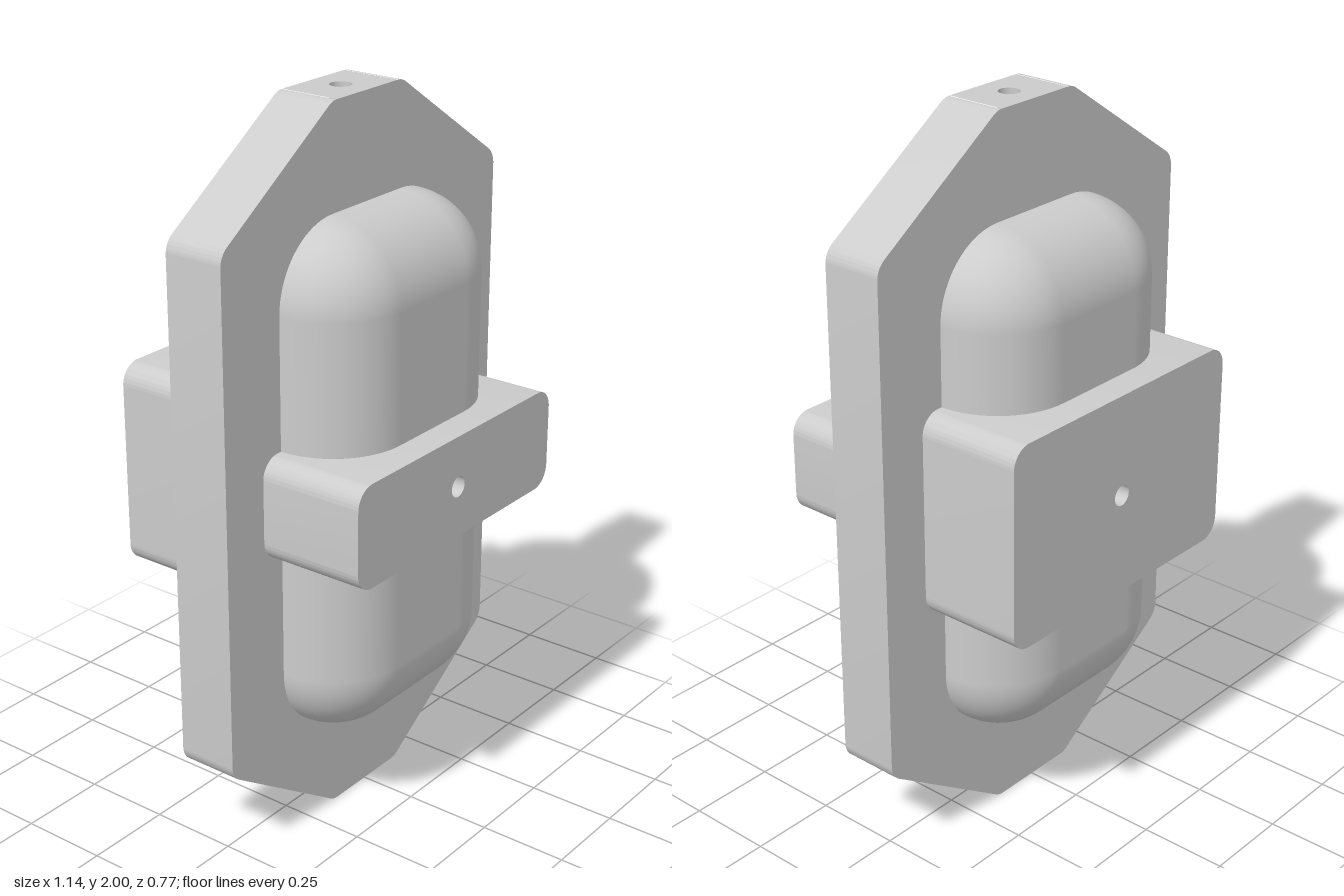
import * as THREE from 'three';
import { toCreasedNormals } from 'three/addons/utils/BufferGeometryUtils.js';
import { RoundedBoxGeometry } from 'three/addons/geometries/RoundedBoxGeometry.js';

const BORE = 0.029, FILLET = 0.057;
const PLATE_Z = 0.086, BLOCK_Z = 0.385;

const grey = new THREE.MeshStandardMaterial({ color: 0xcccccc });
const greyInside = new THREE.MeshStandardMaterial({ color: 0xcccccc, side: THREE.DoubleSide });

function addMesh(parent, name, geometry, material = grey) {
  const mesh = new THREE.Mesh(geometry, material);
  mesh.name = name;
  parent.add(mesh);
}

function boreHole() {
  return new THREE.Path().absarc(0, 0, BORE, 0, Math.PI * 2, true);
}

// Convex counter-clockwise polygon with filleted corners and a central hole
function filletedShape(corners, radius) {
  const points = corners.map(([x, y]) => new THREE.Vector2(x, y));
  const shape = new THREE.Shape();
  const n = points.length;
  points.forEach((p, i) => {
    const u = p.clone().sub(points[(i + n - 1) % n]).normalize();
    const v = points[(i + 1) % n].clone().sub(p).normalize();
    const turn = Math.acos(u.dot(v));
    const start = p.clone().addScaledVector(u, -radius * Math.tan(turn / 2));
    const a = Math.atan2(u.y, u.x) - Math.PI / 2;
    shape.absarc(start.x - u.y * radius, start.y + u.x * radius, radius, a, a + turn, false);
  });
  shape.closePath();
  shape.holes.push(boreHole());
  return shape;
}

function rectangle(w, h) {
  return [[-w, -h], [w, -h], [w, h], [-w, h]];
}

// Drop every triangle whose three corners all satisfy the test
function removeFaces(source, test) {
  const geo = source.index ? source.toNonIndexed() : source;
  const pos = geo.attributes.position, nor = geo.attributes.normal;
  const p = [], q = [];
  for (let i = 0; i < pos.count; i += 3) {
    const ids = [i, i + 1, i + 2];
    if (ids.every((k) => test(pos.getX(k), pos.getY(k), pos.getZ(k)))) continue;
    for (const k of ids) {
      p.push(pos.getX(k), pos.getY(k), pos.getZ(k));
      q.push(nor.getX(k), nor.getY(k), nor.getZ(k));
    }
  }
  const out = new THREE.BufferGeometry();
  out.setAttribute('position', new THREE.Float32BufferAttribute(p, 3));
  out.setAttribute('normal', new THREE.Float32BufferAttribute(q, 3));
  return out;
}

// Extrusion between two depths; the bore walls are supplied separately
function slab(shape, z0, z1) {
  const geo = new THREE.ExtrudeGeometry(shape, { depth: z1 - z0, bevelEnabled: false, curveSegments: 16 });
  geo.translate(0, 0, z0);
  const open = removeFaces(geo, (x, y) => Math.hypot(x, y) < BORE + 1e-3);
  return toCreasedNormals(open, Math.PI / 7);
}

// Flat rectangle with the bore opening, facing +z at the given distance
function drilledFace(halfW, halfH, distance) {
  const shape = new THREE.Shape(rectangle(halfW, halfH).map(([x, y]) => new THREE.Vector2(x, y)));
  shape.holes.push(boreHole());
  return new THREE.ShapeGeometry(shape, 16).translate(0, 0, distance);
}

// Half of a bore along +y, its inner end cut to meet the crossing bore
function halfBore(length) {
  const geo = new THREE.CylinderGeometry(BORE, BORE, length, 32, 1, true);
  geo.translate(0, length / 2, 0);
  const pos = geo.attributes.position;
  for (let i = 0; i < pos.count; i++) {
    if (pos.getY(i) < length / 2) pos.setY(i, Math.abs(pos.getZ(i)));
  }
  return geo;
}

export function createModel() {
  const model = new THREE.Group();
  model.name = 'drilledPlateAssembly';
  model.position.y = 1;

  // Octagonal centre plate with drilled top and bottom edges
  const plate = new THREE.Group();
  plate.name = 'plate';
  model.add(plate);
  const outline = [
    [-0.143, -1], [0.143, -1], [0.571, -0.714], [0.571, 0.714],
    [0.143, 1], [-0.143, 1], [-0.571, 0.714], [-0.571, -0.714],
  ];
  const plateSlab = slab(filletedShape(outline, FILLET), -PLATE_Z, PLATE_Z);
  addMesh(plate, 'plateBody', removeFaces(plateSlab, (x, y) => Math.abs(y) > 1 - 1e-4));
  const edgeHalf = 0.143 - FILLET * Math.tan(Math.atan2(0.286, 0.428) / 2);
  for (const [name, side] of [['plateTopEdge', -1], ['plateBottomEdge', 1]]) {
    addMesh(plate, name, drilledFace(edgeHalf, PLATE_Z, 1).rotateX(side * Math.PI / 2));
  }

  // Rounded pod passing through the plate, with drilled front and back flats
  const pod = new THREE.Group();
  pod.name = 'pod';
  model.add(pod);
  const podShell = new RoundedBoxGeometry(0.714, 1.428, 0.6, 10, 0.214);
  addMesh(pod, 'podShell', removeFaces(podShell,
    (x, y, z) => Math.abs(z) > 0.3 - 1e-4 || Math.abs(y) > 0.714 - 1e-4));
  for (const [name, angle] of [['podFrontFlat', 0], ['podBackFlat', Math.PI]]) {
    addMesh(pod, name, drilledFace(0.143, 0.5, 0.3).rotateY(angle));
  }

  // Narrow block in front, taller block behind
  addMesh(model, 'frontBlock', slab(filletedShape(rectangle(0.428, 0.143), FILLET), PLATE_Z, BLOCK_Z));
  addMesh(model, 'backBlock', slab(filletedShape(rectangle(0.428, 0.286), FILLET), -BLOCK_Z, -PLATE_Z));

  // Crossing bores, one vertical and one front to back
  const bores = [['topBore', 1, 0], ['bottomBore', 1, Math.PI],
    ['frontBore', BLOCK_Z, Math.PI / 2], ['backBore', BLOCK_Z, -Math.PI / 2]];
  for (const [name, length, angle] of bores) {
    addMesh(model, name, halfBore(length).rotateX(angle), greyInside);
  }

  const root = new THREE.Group();
  root.name = 'model';
  root.add(model);
  return root;
}
